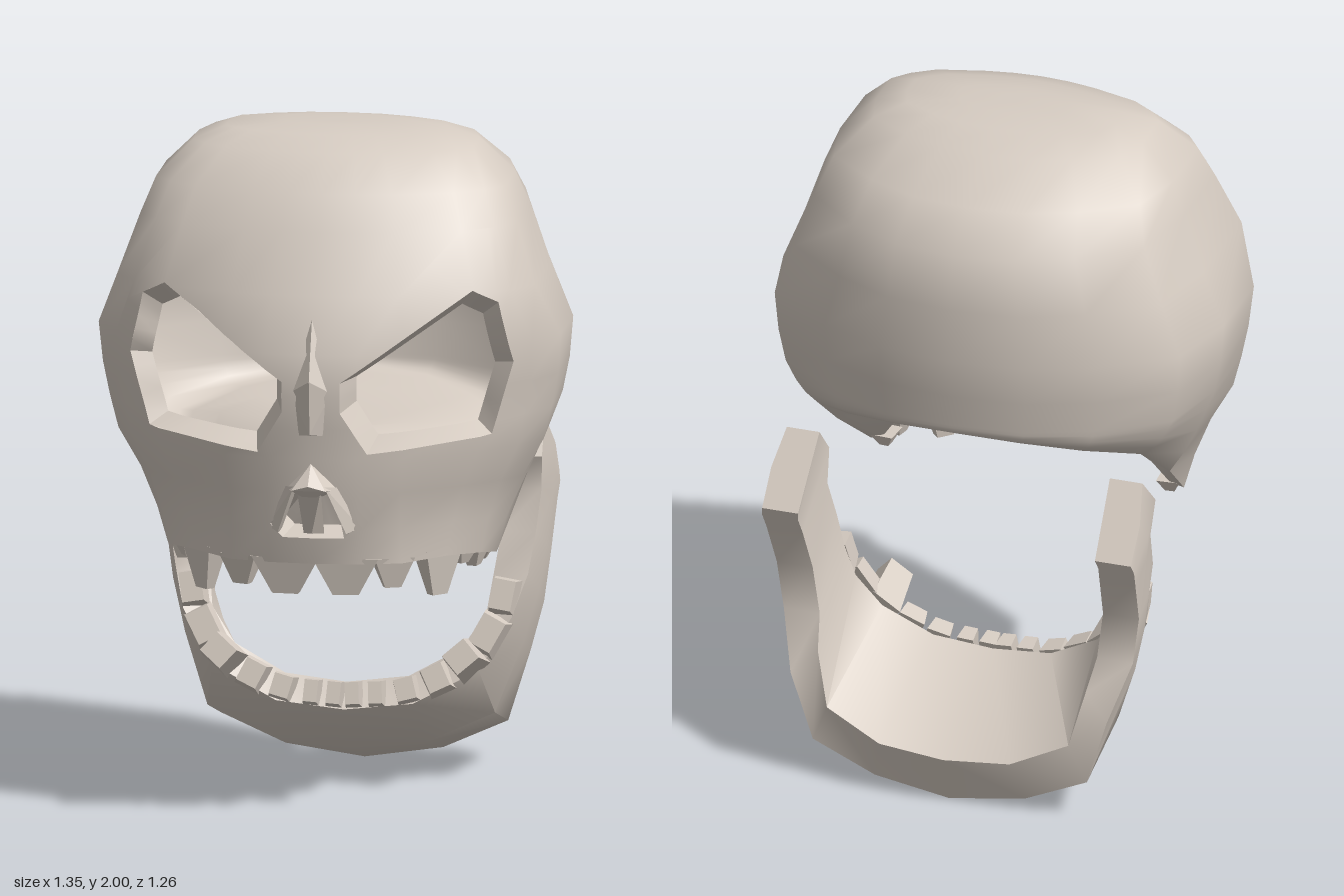
import * as THREE from 'three';
import { toCreasedNormals } from 'three/addons/utils/BufferGeometryUtils.js';
import { ConvexGeometry } from 'three/addons/geometries/ConvexGeometry.js';

const boneColor = 0xd6ccc2;
const bone = new THREE.MeshStandardMaterial({ color: boneColor, side: THREE.DoubleSide });
const flatBone = new THREE.MeshStandardMaterial({ color: boneColor, flatShading: true });
const lerp = THREE.MathUtils.lerp;
const vec = (p) => new THREE.Vector3(...p);
const flipX = ([x, ...rest]) => [-x, ...rest];

function part(name, geometry, material = bone) {
  const mesh = new THREE.Mesh(geometry, material);
  mesh.name = name;
  return mesh;
}

// Skin closed loops of equal length, with optional end caps
function loft(rows, capStart = false, capEnd = false) {
  const n = rows[0].length, index = [], last = (rows.length - 1) * n;
  for (let i = 0; i < rows.length - 1; i++) {
    for (let j = 0; j < n; j++) {
      const a = i * n + j, b = i * n + (j + 1) % n;
      index.push(a, a + n, b, b, a + n, b + n);
    }
  }
  for (let j = 1; j < n - 1; j++) {
    if (capStart) index.push(0, j, j + 1);
    if (capEnd) index.push(last, last + j + 1, last + j);
  }
  const g = new THREE.BufferGeometry();
  g.setAttribute('position', new THREE.Float32BufferAttribute(rows.flat(2), 3));
  g.setIndex(index);
  return g;
}

// Cut a convex, counter-clockwise xy outline out of the forward-facing triangles of a surface
function cutFront(g, outline) {
  const P = g.attributes.position.array, N = g.attributes.normal.array, kept = [];
  const fan = (poly) => {
    for (let k = 1; k < poly.length - 1; k++) kept.push(poly[0], poly[k], poly[k + 1]);
  };
  for (let i = 0; i < P.length; i += 9) {
    const tri = [0, 3, 6].map((o) => [...P.slice(i + o, i + o + 3), ...N.slice(i + o, i + o + 3)]);
    const sum = (q) => tri[0][q] + tri[1][q] + tri[2][q];
    const pieces = [];
    let rest = sum(2) > 0.15 && sum(5) > 0 ? tri : [];
    outline.forEach((a, e) => {
      const b = outline[(e + 1) % outline.length], inside = [], outside = [];
      const side = (v) => (b[0] - a[0]) * (v[1] - a[1]) - (b[1] - a[1]) * (v[0] - a[0]);
      rest.forEach((v, k) => {
        const w = rest[(k + 1) % rest.length], sv = side(v), sw = side(w);
        (sv >= 0 ? inside : outside).push(v);
        if ((sv >= 0) !== (sw >= 0)) {
          const m = v.map((c, q) => lerp(c, w[q], sv / (sv - sw)));
          inside.push(m);
          outside.push(m);
        }
      });
      if (outside.length > 2) pieces.push(outside);
      rest = inside.length > 2 ? inside : [];
    });
    if (rest.length) pieces.forEach(fan);
    else fan(tri);
  }
  const out = new THREE.BufferGeometry();
  const pick = (s) => new THREE.Float32BufferAttribute(kept.flatMap((v) => v.slice(s, s + 3)), 3);
  out.setAttribute('position', pick(0));
  out.setAttribute('normal', pick(3));
  return out;
}

// Tapered four-sided tooth growing from a curve
function tooth(curve, u, [w, h, d], grow, mirror, taper) {
  const g = new THREE.CylinderGeometry(Math.SQRT1_2 * taper, Math.SQRT1_2, 1, 4);
  g.rotateY(Math.PI / 4).translate(0, 0.5, 0).scale(w, h, d);
  const y = vec(grow).normalize(), p = curve.getPointAt(u), x = curve.getTangentAt(u);
  if (mirror) { p.x *= -1; x.y *= -1; x.z *= -1; }
  x.addScaledVector(y, -x.dot(y)).normalize();
  g.applyMatrix4(new THREE.Matrix4().makeBasis(x, y, x.clone().cross(y)).setPosition(p));
  return part('tooth', g, flatBone);
}

const hull = (name, pts) => part(name, new ConvexGeometry(pts.map(vec)), flatBone);
const wholeLoop = (half) => [...half, ...half.slice(1, -1).reverse().map(flipX)];

function buildCranium() {
  const group = new THREE.Group();
  group.name = 'cranium';
  // Half outline from front to back, scaled at each height
  const outline = [[0, 1], [0.2, 0.97], [0.4, 0.89], [0.74, 0.68], [0.9, 0.46], [1, 0.25],
    [1, -0.17], [0.92, -0.57], [0.62, -0.82], [0.33, -0.96], [0, -1]];
  // height, half width, front depth, back depth, front roundness (lower is squarer)
  const levels = [[2, 0.02, 0.02, 0.03, 1], [2, 0.16, 0.07, 0.1, 1], [1.985, 0.32, 0.15, 0.18, 0.9],
    [1.95, 0.41, 0.245, 0.28, 0.72], [1.85, 0.51, 0.35, 0.43, 0.62], [1.75, 0.55, 0.41, 0.55, 0.57],
    [1.58, 0.61, 0.5, 0.565, 0.52], [1.42, 0.675, 0.575, 0.578, 0.9], [1.3, 0.665, 0.59, 0.565, 1],
    [1.2, 0.645, 0.575, 0.55, 1]];
  const rim = [[0, 0.79, 0.5], [0.13, 0.79, 0.49], [0.25, 0.79, 0.46], [0.37, 0.8, 0.38],
    [0.455, 0.79, 0.27], [0.48, 0.76, 0.11], [0.51, 0.92, -0.1], [0.5, 1.07, -0.3],
    [0.36, 1.12, -0.43], [0.19, 1.15, -0.5], [0, 1.16, -0.52]];
  const halves = levels.map(([y, w, f, b, k]) => outline.map(([x, z]) => [x * w, y, z > 0 ? f * z ** k : b * z]));
  const brow = halves[halves.length - 1];
  // Cheekbones stand out, then the cheeks and underslung back run down to the sloping rim
  for (const [t, cheek, rest] of [[0.22, 1.02, 1.01], [0.48, 0.985, 1.02], [0.75, 0.98, 1.02], [1, 1, 1]]) {
    halves.push(rim.map((r, j) => {
      const p = r.map((c, q) => lerp(brow[j][q], c, t));
      const s = j > 1 && j < 6 ? cheek : rest;
      return [p[0] * s, p[1], p[2] * s];
    }));
  }
  // Shallow hollow underside
  for (const [k, h] of [[0.92, 0.04], [0.75, 0.42], [0.45, 0.8], [0.02, 1]]) {
    halves.push(rim.map(([x, y, z]) => [x * k, lerp(y, 1.09, h), z * k]));
  }
  const solid = toCreasedNormals(loft(halves.map(wholeLoop), true, true), 1.25);
  const probe = new THREE.Mesh(solid, bone), ray = new THREE.Raycaster();
  const onFace = ([x, y]) => {
    ray.set(new THREE.Vector3(x + 1e-4, y + 1e-4, 3), new THREE.Vector3(0, 0, -1));
    return [x, y, ray.intersectObject(probe)[0].point.z];
  };

  // Openings with bevelled walls that follow the curve of the face
  const eye = [[0.085, 1.25], [0.16, 1.125], [0.5, 1.16], [0.56, 1.37], [0.52, 1.55], [0.45, 1.59], [0.085, 1.34]];
  const nose = [[0, 1.07], [-0.125, 0.91], [-0.09, 0.87], [0.09, 0.87], [0.125, 0.91]];
  const addWall = (name, hole, cx, cy, shrink, depth, closed) => {
    const fine = hole.flatMap((p, i) => [0, 0.2, 0.4, 0.6, 0.8].map((t) =>
      p.map((c, q) => lerp(c, hole[(i + 1) % hole.length][q], t))));
    const outer = fine.map(onFace);
    const inner = outer.map(([x, y, z]) => [lerp(cx, x, shrink), lerp(cy, y, shrink), z - depth(x)]);
    group.add(part(name, toCreasedNormals(loft([inner, outer], closed), 0.4)));
  };
  const eyeMirror = eye.map(flipX).reverse();
  const socketDepth = (x) => 0.15 - 0.2 * Math.abs(x);
  addWall('leftEyeSocket', eye, 0.25, 1.32, 0.81, socketDepth);
  addWall('rightEyeSocket', eyeMirror, -0.25, 1.32, 0.81, socketDepth);
  addWall('nasalCavity', nose, 0, 0.95, 0.75, () => 0.1, true);
  group.add(part('skullShell', [eye, eyeMirror, nose].reduce(cutFront, solid)));

  // Ridge between the eyes and the nose
  group.add(hull('noseBridge', [[0, 1.52, 0.545], [-0.06, 1.31, 0.575], [0.06, 1.31, 0.575],
    [0, 1.35, 0.612], [-0.045, 1.18, 0.56], [0.045, 1.18, 0.56], [0, 1.19, 0.595], [0, 1.35, 0.5]]));
  group.add(hull('noseTip', [[0, 1.1, 0.57], [-0.075, 1.02, 0.54], [0.075, 1.02, 0.54],
    [-0.05, 1.03, 0.625], [0.05, 1.03, 0.625], [0, 1.045, 0.635], [0, 0.99, 0.58]]));
  group.add(hull('septum', [[-0.035, 1.03, 0.61], [0.035, 1.03, 0.61], [-0.03, 0.88, 0.5],
    [0.03, 0.88, 0.5], [0, 0.89, 0.545], [0, 1.02, 0.5]]));
  for (const s of [1, -1]) {
    group.add(hull('nostrilRidge', [[0.045, 1.04, 0.61], [0.075, 1.03, 0.56], [0.045, 1.02, 0.54],
      [0.1, 0.89, 0.545], [0.135, 0.9, 0.5], [0.1, 0.88, 0.48]].map(([x, y, z]) => [s * x, y, z])));
  }

  // Upper teeth: position along the rim, width, length
  const arch = new THREE.CatmullRomCurve3(rim.slice(0, 6).map(([x, y, z]) => new THREE.Vector3(x * 0.92, y + 0.015, z - 0.035)));
  const teeth = [[0.13, 0.19, 0.11], [0.33, 0.12, 0.09], [0.55, 0.13, 0.135], [0.69, 0.08, 0.05], [0.8, 0.1, 0.06], [0.93, 0.08, 0.04]];
  for (const mirror of [false, true]) {
    for (const [u, w, h] of teeth) group.add(tooth(arch, u, [w, h, 0.07], [0, -1, 0], mirror, 0.4));
  }
  return group;
}

function buildJaw() {
  const group = new THREE.Group();
  group.name = 'lowerJaw';
  // Sections of the body: gum outside, gum inside, rim inside, rim outside, outer face
  const body = [
    [[0, 0.23, -0.13], [0, 0.3, -0.19], [0, 0.15, -0.63], [0, 0, -0.575], [0, 0.09, -0.27]],
    [[0.2, 0.25, -0.14], [0.18, 0.32, -0.2], [0.2, 0.165, -0.62], [0.23, 0.035, -0.57], [0.22, 0.11, -0.28]],
    [[0.39, 0.35, -0.16], [0.33, 0.4, -0.22], [0.37, 0.24, -0.59], [0.42, 0.12, -0.57], [0.42, 0.2, -0.29]],
    [[0.48, 0.5, -0.21], [0.4, 0.5, -0.25], [0.41, 0.4, -0.555], [0.485, 0.33, -0.58], [0.495, 0.4, -0.36]]];
  // Rising branch: centre x, front y z, back y z
  const branch = [[0.48, 0.61, -0.3, 0.49, -0.495], [0.5, 0.73, -0.32, 0.64, -0.5],
    [0.51, 0.85, -0.37, 0.78, -0.56], [0.515, 0.95, -0.34, 0.83, -0.585], [0.51, 1.05, -0.44, 0.86, -0.6]];
  const half = [...body, ...branch.map(([x, fy, fz, by, bz]) => {
    const a = x - 0.055, b = x + 0.055;
    return [[b - 0.02, fy, fz], [a - 0.01, fy, fz], [a, by, bz], [b, by, bz], [b, (fy + by) / 2, (fz + bz) / 2]];
  })];
  const stations = [...half.slice(1).reverse().map((s) => s.map(flipX)), ...half];
  group.add(part('jawBone', toCreasedNormals(loft(stations, true, true), 0.85)));

  // Lower teeth: position along the gum, width, length, thickness
  const gum = new THREE.CatmullRomCurve3([...body, half[4]].map(([o, i]) => vec(o).lerp(vec(i), 0.5)));
  const teeth = [[0.04, 0.05, 0.06, 0.08], [0.14, 0.05, 0.06, 0.08], [0.27, 0.07, 0.06, 0.08], [0.41, 0.08, 0.06, 0.09],
    [0.56, 0.1, 0.16, 0.09], [0.71, 0.12, 0.06, 0.09], [0.89, 0.11, 0.07, 0.08]];
  for (const mirror of [false, true]) {
    for (const [u, w, h, d] of teeth) group.add(tooth(gum, u, [w, h, d], [0, 0.3, 1], mirror, 0.8));
  }
  return group;
}

export function createModel() {
  const model = new THREE.Group();
  model.name = 'skull';
  model.add(buildCranium(), buildJaw());
  return model;
}
